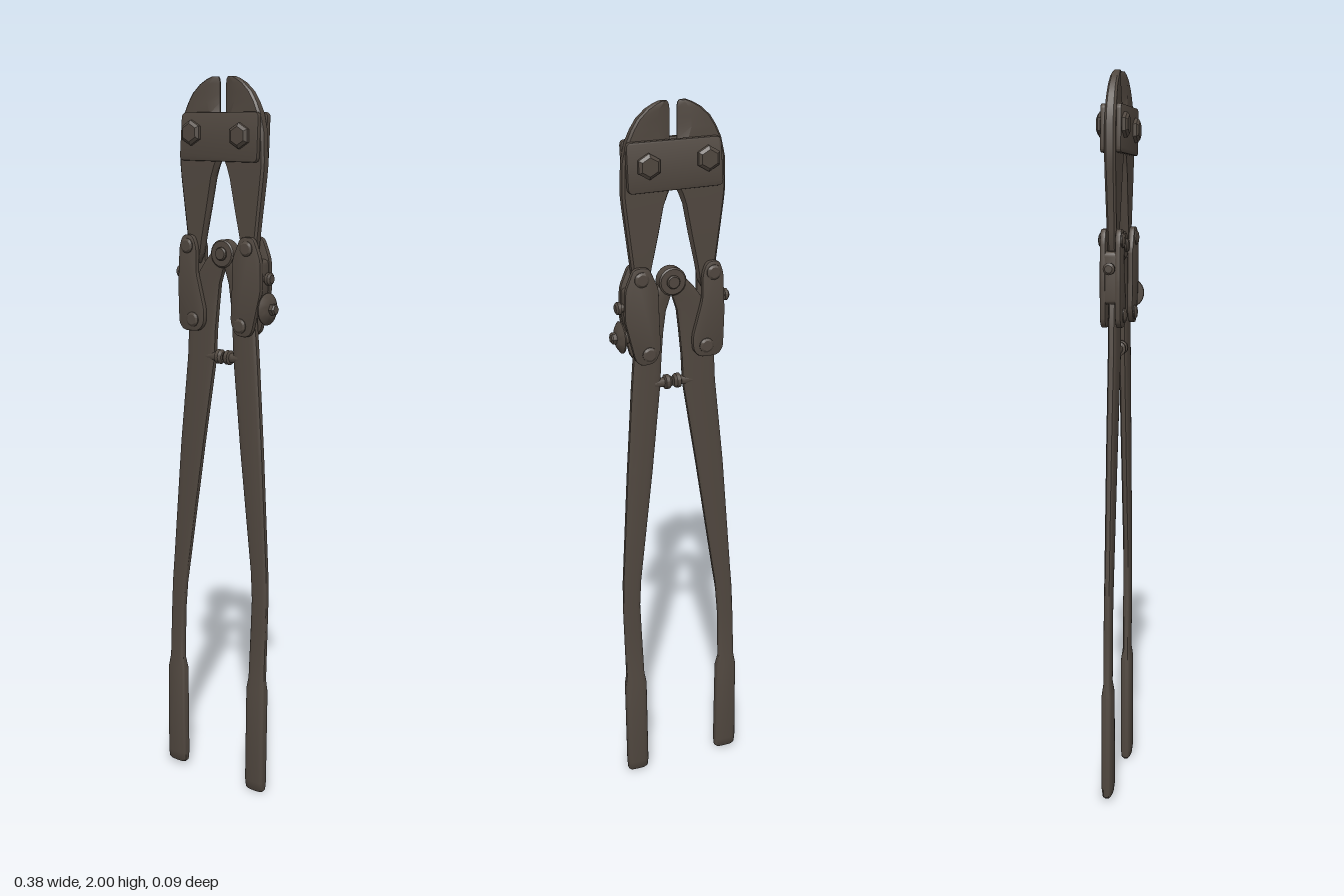
import * as THREE from 'three';
import { toCreasedNormals } from 'three/addons/utils/BufferGeometryUtils.js';

const steel = new THREE.MeshStandardMaterial({ color: 0x50473f });
steel.name = 'dark steel';

// Skin a stack of equal rings; rings run counter-clockwise seen from above.
function loft(rings, crease = 0.6) {
  const n = rings[0].length, pos = rings.flat(2), index = [];
  for (let i = 0; i < rings.length - 1; i++) {
    for (let j = 0; j < n; j++) {
      const a = i * n + j, b = i * n + (j + 1) % n;
      index.push(a, b, b + n, a, b + n, a + n);
    }
  }
  const top = (rings.length - 1) * n;
  for (let j = 1; j < n - 1; j++) index.push(0, j + 1, j, top, top + j, top + j + 1);
  const g = new THREE.BufferGeometry();
  g.setAttribute('position', new THREE.Float32BufferAttribute(pos, 3));
  g.setIndex(index);
  return toCreasedNormals(g, crease);
}

// Rounded-box cross-section between two x values.
function barRing([y, x0, x1, h]) {
  const ring = [], n = 20;
  for (let j = 0; j < n; j++) {
    const t = (j / n) * Math.PI * 2, c = Math.cos(t), s = Math.sin(t);
    const x = Math.sign(c) * Math.abs(c) ** 0.6, z = -Math.sign(s) * Math.abs(s) ** 0.6;
    ring.push([(x0 + x1) / 2 + x * (x1 - x0) / 2, y, z * h]);
  }
  return ring;
}

// Jaw levels: y, inner edge, end of the cutting bevel, outer edge, half thickness
const AXIS = 0.012;
const JAW = [
  [1.51, 0.082, 0.085, 0.100, 0.011], [1.535, 0.068, 0.073, 0.112, 0.012],
  [1.58, 0.060, 0.065, 0.117, 0.013], [1.66, 0.042, 0.048, 0.127, 0.014],
  [1.74, 0.026, 0.032, 0.137, 0.015], [1.77, 0.014, 0.022, 0.140, 0.015],
  [1.79, 0.004, 0.012, 0.140, 0.015], [1.857, 0.004, 0.014, 0.138, 0.015],
  [1.905, 0.010, 0.035, 0.127, 0.015], [1.935, 0.010, 0.045, 0.113, 0.014],
  [1.96, 0.010, 0.045, 0.097, 0.013], [1.982, 0.010, 0.040, 0.073, 0.012],
  [1.994, 0.012, 0.030, 0.052, 0.010], [2.0, 0.016, 0.026, 0.037, 0.008],
];
function jawRing([y, a, b, c, h], side) {
  const edge = 0.002;
  const section = [[c, h * 0.6], [c, -h * 0.6], [c - 0.006, -h], [b, -h], [a, -edge], [a, edge], [b, h], [c - 0.006, h]];
  const ring = section.map(([u, z]) => [AXIS + side * u, y, z]);
  return side > 0 ? ring : ring.reverse();
}

// Flat plate with softened edges, spanning z0 to z1.
function plate(points, z0, z1) {
  const bevel = 0.003, shape = new THREE.Shape();
  const P = points.map(p => new THREE.Vector2(...p)), n = P.length;
  // Round each corner with a short quadratic curve
  P.forEach((p, i) => {
    const prev = P[(i + n - 1) % n], next = P[(i + 1) % n];
    const a = p.clone().lerp(prev, Math.min(0.45, 0.014 / p.distanceTo(prev)));
    const b = p.clone().lerp(next, Math.min(0.45, 0.014 / p.distanceTo(next)));
    if (i) shape.lineTo(a.x, a.y); else shape.moveTo(a.x, a.y);
    shape.quadraticCurveTo(p.x, p.y, b.x, b.y);
  });
  shape.closePath();
  const g = new THREE.ExtrudeGeometry(shape, {
    depth: z1 - z0 - 2 * bevel, bevelThickness: bevel, bevelSize: bevel, bevelOffset: -bevel, bevelSegments: 2, curveSegments: 4,
  });
  g.translate(0, 0, z0 + bevel);
  return toCreasedNormals(g, 0.5);
}

// Turned part along an axis from [radius, position] pairs, closed at both ends.
function turned(profile, axis, segments = 20) {
  const pts = [[0, profile[0][1]], ...profile, [0, profile[profile.length - 1][1]]];
  const g = new THREE.LatheGeometry(pts.map(p => new THREE.Vector2(...p)), segments);
  if (axis === 'x') g.rotateZ(-Math.PI / 2);
  if (axis === 'z') g.rotateX(Math.PI / 2);
  return toCreasedNormals(g, 0.5);
}

export function createModel() {
  const root = new THREE.Group();
  root.name = 'boltCutter';
  const add = (name, geometry, x = 0, y = 0, z = 0) => {
    const m = new THREE.Mesh(geometry, steel);
    m.name = name;
    m.position.set(x, y, z);
    root.add(m);
    return m;
  };

  // Cutting jaws
  for (const side of [-1, 1]) {
    add(side > 0 ? 'leftJaw' : 'rightJaw', loft(JAW.map(l => jawRing(l, side)), 0.45));
  }

  // Handles with thicker grips: y, x from, x to, half thickness
  const rightHandle = [
    [0.01, -0.182, -0.130, 0.009], [0.016, -0.188, -0.124, 0.013], [0.04, -0.190, -0.122, 0.016],
    [0.31, -0.187, -0.124, 0.016], [0.345, -0.181, -0.132, 0.011], [0.50, -0.175, -0.128, 0.011],
    [0.58, -0.171, -0.121, 0.011], [0.66, -0.164, -0.108, 0.011], [1.0, -0.136, -0.055, 0.012],
    [1.25, -0.109, -0.014, 0.013], [1.33, -0.105, -0.010, 0.013], [1.40, -0.095, -0.003, 0.013],
    [1.46, -0.080, 0.004, 0.013], [1.49, -0.066, 0.014, 0.013], [1.52, -0.044, 0.022, 0.013], [1.555, -0.012, 0.028, 0.011],
  ];
  const leftHandle = [
    [0.0, 0.106, 0.156, 0.009], [0.006, 0.100, 0.161, 0.013], [0.03, 0.098, 0.163, 0.016],
    [0.31, 0.101, 0.166, 0.016], [0.345, 0.107, 0.162, 0.011], [0.50, 0.114, 0.166, 0.011],
    [0.58, 0.117, 0.168, 0.011], [0.66, 0.113, 0.167, 0.011], [1.0, 0.075, 0.149, 0.012],
    [1.25, 0.051, 0.133, 0.013], [1.33, 0.047, 0.127, 0.013], [1.40, 0.042, 0.120, 0.013],
    [1.46, 0.034, 0.105, 0.013], [1.49, 0.024, 0.085, 0.013], [1.52, 0.014, 0.062, 0.013], [1.555, 0.010, 0.040, 0.011],
  ];
  add('rightHandle', loft(rightHandle.map(barRing)));
  add('leftHandle', loft(leftHandle.map(barRing)));

  // Centre joint between the handles
  add('centreHub', turned([[0.034, -0.017], [0.038, -0.014], [0.038, 0.014], [0.034, 0.017]], 'z'), 0.018, 1.54);
  add('centrePin', turned([[0.015, -0.025], [0.018, -0.021], [0.018, 0.021], [0.015, 0.025]], 'z'), 0.018, 1.54);

  // Front and back plates, bolts and pins
  const jawPlate = [[-0.108, 1.91], [-0.117, 1.785], [0.141, 1.78], [0.146, 1.908]];
  const rightLink = [
    [-0.120, 1.555], [-0.108, 1.588], [-0.074, 1.588], [-0.061, 1.555], [-0.061, 1.485],
    [-0.034, 1.385], [-0.036, 1.345], [-0.056, 1.326], [-0.106, 1.326], [-0.122, 1.345], [-0.125, 1.45],
  ];
  const leftLink = [
    [0.062, 1.53], [0.076, 1.56], [0.088, 1.588], [0.130, 1.588], [0.142, 1.56], [0.154, 1.53],
    [0.156, 1.45], [0.127, 1.335], [0.108, 1.321], [0.072, 1.326], [0.056, 1.36], [0.060, 1.44],
  ];
  for (const s of [1, -1]) {
    const face = s > 0 ? 'front' : 'back';
    const range = s > 0 ? [0.013, 0.028] : [-0.028, -0.013];
    add(face + 'JawPlate', plate(jawPlate.map(p => [...p]).reverse(), ...range));
    add(face + 'RightLink', plate(rightLink, ...range));
    add(face + 'LeftLink', plate(leftLink, ...range));
    for (const [x, y] of [[-0.072, 1.857], [0.088, 1.848]]) {
      const bolt = add(face + 'JawBolt', turned([[0.033, 0.024], [0.033, 0.037], [0.024, 0.043]], 'z', 6), x, y);
      if (s < 0) bolt.rotation.y = Math.PI;
    }
    for (const [x, y] of [[-0.092, 1.558], [-0.073, 1.358], [0.109, 1.558], [0.089, 1.352]]) {
      const pin = add(face + 'LinkPin', turned([[0.020, 0.02], [0.020, 0.031], [0.014, 0.035]], 'z'), x, y);
      if (s < 0) pin.rotation.y = Math.PI;
    }
  }

  // Spacer blocks between the link plates
  add('rightSpacer', plate([[-0.121, 1.53], [-0.123, 1.39], [-0.088, 1.39], [-0.088, 1.53]], -0.024, 0.024));
  add('leftSpacer', plate([[0.110, 1.53], [0.105, 1.38], [0.136, 1.38], [0.152, 1.45], [0.152, 1.53]], -0.024, 0.024));

  // Adjusting screws on the outer sides
  add('rightScrew', turned([[0.010, -0.145], [0.016, -0.140], [0.016, -0.132], [0.011, -0.130], [0.011, -0.11]], 'x'), 0, 1.485);
  add('leftScrew', turned([[0.011, 0.13], [0.011, 0.158], [0.017, 0.160], [0.017, 0.169], [0.011, 0.174]], 'x'), 0, 1.48);
  add('adjusterDisc', turned([[0.018, 0.11], [0.018, 0.156], [0.042, 0.157], [0.043, 0.161], [0.030, 0.170], [0.018, 0.174]], 'x', 24), 0, 1.40);
  add('adjusterNut', turned([[0.016, 0.165], [0.016, 0.184], [0.012, 0.188]], 'x', 6), 0, 1.40);

  // Handle stops
  add('rightStop', turned([[0.013, -0.04], [0.013, -0.008], [0.020, -0.005], [0.020, 0.006], [0.014, 0.013]], 'x'), 0, 1.258);
  add('leftStop', turned([[0.014, 0.019], [0.020, 0.026], [0.020, 0.037], [0.013, 0.040], [0.013, 0.07]], 'x'), 0, 1.258);

  return root;
}
